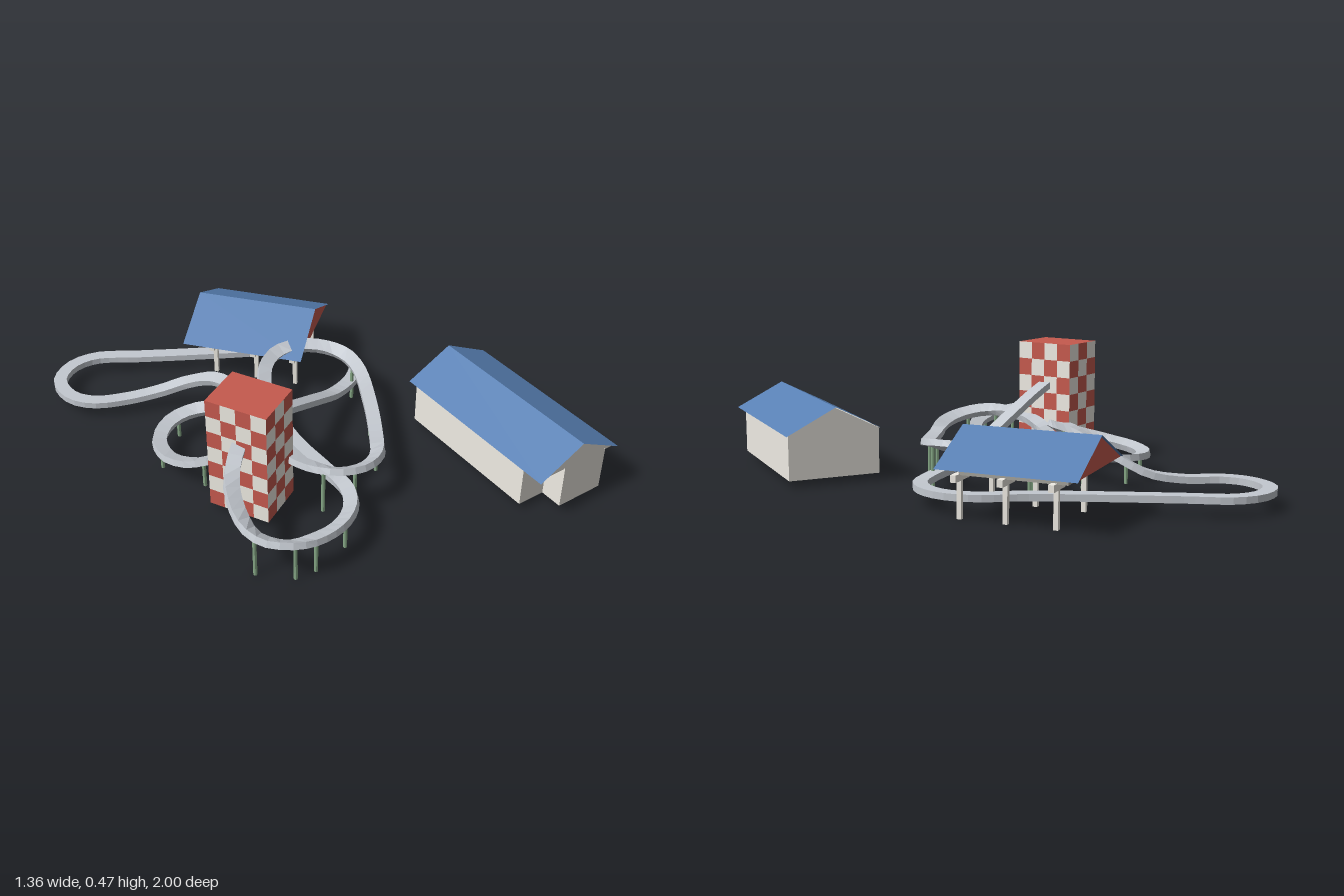
import * as THREE from 'three';
import { mergeGeometries } from 'three/addons/utils/BufferGeometryUtils.js';

const mat = (color, side = THREE.FrontSide) =>
  new THREE.MeshStandardMaterial({ color, side, flatShading: true });
const CREAM = 0xefece4, RED = 0xc65a4e, BLUE = 0x5880b4, GREEN = 0x86a886, STEEL = 0xc4c9d0;

function add(parent, name, geometry, material, x = 0, y = 0, z = 0) {
  const m = new THREE.Mesh(geometry, material);
  m.name = name;
  m.position.set(x, y, z);
  parent.add(m);
  return m;
}

function placed(parent, name, x, z, turn) {
  const g = new THREE.Group();
  g.name = name;
  g.position.set(x, 0, z);
  g.rotation.y = turn;
  parent.add(g);
  return g;
}

// Geometry from a list of quads, each four corners counter-clockwise
function quads(list) {
  const pos = [];
  for (const [a, b, c, d] of list) for (const p of [a, b, c, a, c, d]) pos.push(...p);
  const g = new THREE.BufferGeometry();
  g.setAttribute('position', new THREE.Float32BufferAttribute(pos, 3));
  g.computeVertexNormals();
  return g;
}

// Thin gabled roof with its ridge along z
function gableRoof(w, l, eave, ridge) {
  return quads([
    [[0, ridge, l], [w, eave, l], [w, eave, -l], [0, ridge, -l]],
    [[-w, eave, l], [0, ridge, l], [0, ridge, -l], [-w, eave, -l]],
  ]);
}

// Upright triangle for a gable end
function gable(w, eave, ridge) {
  return new THREE.ShapeGeometry(new THREE.Shape(
    [[-w, eave], [w, eave], [0, ridge]].map(p => new THREE.Vector2(...p))));
}

// Chequered tower, open below: 3 x 4 columns, 7 rows
function buildTower(root) {
  const g = placed(root, 'tower', -0.399, 0.075, 0.24);
  const W = 0.185, D = 0.23, Y0 = 0.025, H = 0.445, rows = 7;
  const cells = [[], []];
  let first = 0;
  for (let f = 0; f < 4; f++) {
    const cols = f % 2 ? 4 : 3, width = f % 2 ? D : W, out = (f % 2 ? W : D) / 2;
    for (let c = 0; c < cols; c++) for (let r = 0; r < rows; r++) {
      const p = new THREE.PlaneGeometry(width / cols, H / rows);
      p.translate(((c + 0.5) / cols - 0.5) * width, Y0 + (r + 0.5) * H / rows, out);
      p.rotateY(f * Math.PI / 2);
      cells[(first + c + r) % 2].push(p);
    }
    first += cols;
  }
  add(g, 'towerRedPanels', mergeGeometries(cells[0]), mat(RED, THREE.DoubleSide));
  add(g, 'towerCreamPanels', mergeGeometries(cells[1]), mat(CREAM, THREE.DoubleSide));
  add(g, 'towerRoof', new THREE.PlaneGeometry(W, D).rotateX(-Math.PI / 2),
    mat(RED, THREE.DoubleSide), 0, Y0 + H, 0);
}

// Long hall with a projecting entrance below the gable
function buildHall(root) {
  const g = placed(root, 'hall', 0.41, 0.603, -0.267);
  const w = 0.182, eave = 0.19, ridge = 0.283, wallTop = 0.195;
  const plan = [[0.169, -0.329], [0.169, 0.28], [0.13, 0.28], [0.13, 0.345],
    [-0.06, 0.345], [-0.06, 0.26], [-0.169, 0.26], [-0.169, -0.329]];
  const walls = plan.map(([x, z], i) => {
    const [x2, z2] = plan[(i + 1) % plan.length];
    return [[x2, 0.025, z2], [x, 0.025, z], [x, wallTop, z], [x2, wallTop, z2]];
  });
  add(g, 'hallWalls', quads(walls), mat(CREAM, THREE.DoubleSide));
  for (const z of [-0.329, 0.342])
    add(g, 'hallGable', gable(w - 0.006, eave, ridge - 0.003), mat(CREAM, THREE.DoubleSide), 0, 0, z);
  add(g, 'hallRoof', gableRoof(w, 0.357, eave, ridge), mat(BLUE, THREE.DoubleSide));
}

// Open station on posts with red gables
function buildStation(root) {
  const g = placed(root, 'station', 0.267, -0.505, 0.443);
  const w = 0.217, eave = 0.175, ridge = 0.283;
  add(g, 'stationRoof', gableRoof(w, 0.24, eave, ridge), mat(BLUE, THREE.DoubleSide));
  for (const z of [-0.232, 0.232])
    add(g, 'stationGable', gable(w - 0.006, eave, ridge - 0.003), mat(RED, THREE.DoubleSide), 0, 0, z);
  add(g, 'stationCeiling', new THREE.BoxGeometry(0.3, 0.03, 0.37), mat(0xa5a39c), 0, 0.163, 0);
  for (const x of [-0.12, 0.13]) for (const z of [-0.14, 0.03, 0.19]) {
    add(g, 'stationPost', new THREE.BoxGeometry(0.016, 0.135, 0.016), mat(CREAM), x, 0.0675, z);
    add(g, 'stationBracket', new THREE.BoxGeometry(0.1, 0.024, 0.02), mat(CREAM), x, 0.14, z);
  }
}

// Closed track route, section by section, as [x, y, z]
function trackCurve() {
  const station = [[-0.1, 0.06, -0.83], [0.05, 0.06, -0.68], [0.25, 0.06, -0.49], [0.4, 0.06, -0.38],
    [0.455, 0.06, -0.29], [0.46, 0.06, -0.2], [0.42, 0.06, -0.12], [0.33, 0.065, -0.07]];
  const lift = [[0.2, 0.085, -0.045], [0.05, 0.15, -0.018], [-0.1, 0.22, 0.01], [-0.25, 0.287, 0.038],
    [-0.35, 0.318, 0.06], [-0.44, 0.32, 0.085]];
  const drop = [[-0.52, 0.305, 0.12], [-0.61, 0.25, 0.19], [-0.655, 0.175, 0.32], [-0.6, 0.155, 0.425],
    [-0.45, 0.135, 0.475], [-0.32, 0.12, 0.45], [-0.22, 0.1, 0.36], [-0.165, 0.08, 0.21],
    [-0.1, 0.07, 0], [-0.03, 0.11, -0.18], [0.05, 0.17, -0.27], [0.14, 0.19, -0.295]];
  const sweep = [[0.26, 0.19, -0.24], [0.32, 0.18, -0.13], [0.3, 0.17, -0.02], [0.19, 0.14, 0.13],
    [0.03, 0.13, 0.29], [-0.06, 0.15, 0.36], [-0.16, 0.17, 0.375], [-0.25, 0.185, 0.33],
    [-0.29, 0.185, 0.21], [-0.265, 0.17, 0.05], [-0.2, 0.145, -0.1]];
  // full circle that dips, then climbs over its own entry
  const heights = [0.122, 0.102, 0.09, 0.085, 0.09, 0.11, 0.15, 0.185, 0.205];
  const circle = heights.map((y, i) => {
    const a = i * Math.PI / 4, r = 0.155 + 0.018 * i / 8;
    return [-0.325 + r * Math.cos(a), y, -0.233 - r * Math.sin(a)];
  });
  const back = [[-0.13, 0.185, -0.36], [-0.16, 0.13, -0.48], [-0.22, 0.08, -0.57], [-0.32, 0.06, -0.65],
    [-0.42, 0.06, -0.73], [-0.455, 0.06, -0.82], [-0.42, 0.06, -0.93], [-0.32, 0.06, -0.975],
    [-0.22, 0.06, -0.95]];
  const pts = [station, lift, drop, sweep, circle, back].flat().map(p => new THREE.Vector3(...p));
  const curve = new THREE.CatmullRomCurve3(pts, true, 'centripetal');
  curve.arcLengthDivisions = 1000;
  return curve;
}

// Box section swept along the route, banked into the raised turns
function buildTrack(root) {
  const curve = trackCurve(), len = curve.getLength(), N = 200, W = 0.025, H = 0.012;
  const up = new THREE.Vector3(0, 1, 0), rings = [];
  for (let i = 0; i < N; i++) {
    const u = i / N, e = 0.006;
    const p = curve.getPointAt(u), t = curve.getTangentAt(u);
    const t0 = curve.getTangentAt((u - e + 1) % 1), t1 = curve.getTangentAt((u + e) % 1);
    const turn = t0.cross(t1).y / (2 * e * len);
    const bank = THREE.MathUtils.clamp(turn * 0.09, -0.55, 0.55) * THREE.MathUtils.smoothstep(p.y, 0.06, 0.12);
    const s0 = t.clone().cross(up).normalize(), n0 = s0.clone().cross(t);
    const c = Math.cos(bank), k = Math.sin(bank);
    const s = s0.clone().multiplyScalar(c).addScaledVector(n0, k);
    const n = n0.clone().multiplyScalar(c).addScaledVector(s0, -k);
    rings.push([[-W, H], [W, H], [W, -H], [-W, -H]].map(([a, b]) =>
      p.clone().addScaledVector(s, a).addScaledVector(n, b).toArray()));
  }
  const faces = [];
  rings.forEach((r, i) => {
    const q = rings[(i + 1) % N];
    for (let j = 0; j < 4; j++) faces.push([r[j], r[(j + 1) % 4], q[(j + 1) % 4], q[j]]);
  });
  add(root, 'track', quads(faces), mat(STEEL));

  // Posts at [x, z], each reaching up to the nearest raised stretch of track
  const supports = new THREE.Group();
  supports.name = 'trackSupports';
  root.add(supports);
  const raised = curve.getSpacedPoints(600).filter(p => p.y > 0.08);
  const spots = [[-0.66, 0.32], [-0.58, 0.44], [-0.515, 0.46], [-0.36, 0.47], [-0.475, -0.3], [-0.44, -0.11],
    [-0.3, -0.39], [-0.275, 0.3], [-0.2, 0.375], [-0.15, -0.22], [-0.12, -0.34], [0.02, 0.3],
    [0.03, -0.25], [0.07, -0.28], [0.105, 0.22], [0.165, 0.16], [0.31, -0.05]];
  for (const [x, z] of spots) {
    const dist = p => Math.hypot(p.x - x, p.z - z);
    const p = raised.reduce((a, b) => (dist(b) < dist(a) ? b : a));
    const h = p.y - 0.006;
    add(supports, 'supportPost', new THREE.CylinderGeometry(0.007, 0.007, h, 8), mat(GREEN), p.x, h / 2, p.z);
  }
}

export function createModel() {
  const root = new THREE.Group();
  root.name = 'rollerCoaster';
  buildTower(root);
  buildHall(root);
  buildStation(root);
  buildTrack(root);
  return root;
}
